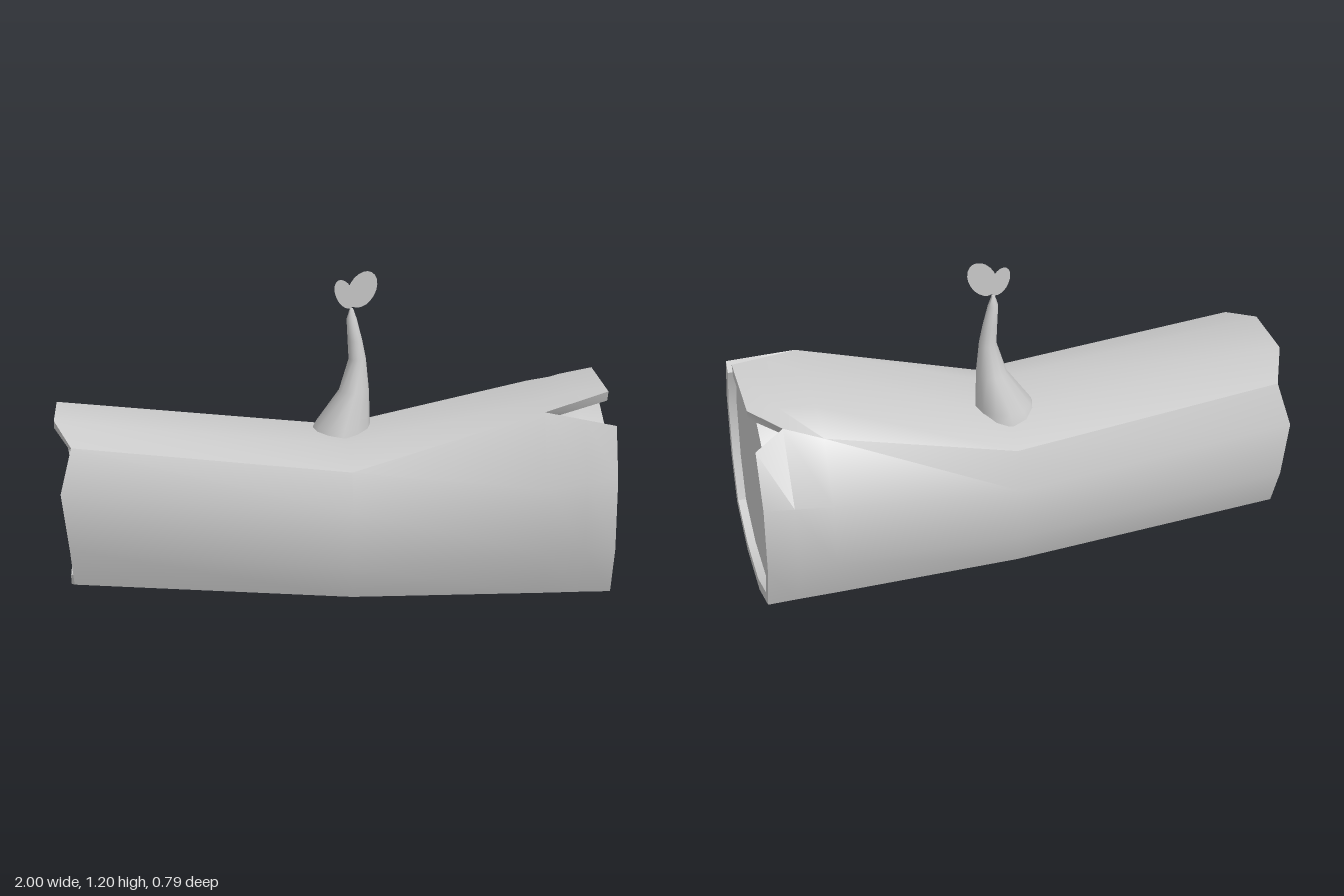
import * as THREE from 'three';
import { toCreasedNormals } from 'three/addons/utils/BufferGeometryUtils.js';

const V = (x, y, z) => new THREE.Vector3(x, y, z);
const quad = (out, a, b, c, d) => out.push(a, b, c, a, c, d);

// Skin consecutive closed rings
function loft(out, rings) {
  for (let s = 0; s < rings.length - 1; s++) {
    const r = rings[s], q = rings[s + 1], n = r.length;
    for (let i = 0; i < n; i++) {
      const j = (i + 1) % n;
      quad(out, r[i], r[j], q[j], q[i]);
    }
  }
}

// Close a ring with a fan around its middle
function fan(out, ring, flip) {
  const mid = ring.reduce((m, p) => m.add(p), V(0, 0, 0)).divideScalar(ring.length);
  ring.forEach((p, i) => {
    const q = ring[(i + 1) % ring.length];
    if (flip) out.push(mid, q, p); else out.push(mid, p, q);
  });
}

function makeMesh(points, name, crease) {
  const geometry = toCreasedNormals(new THREE.BufferGeometry().setFromPoints(points), crease);
  const mesh = new THREE.Mesh(geometry, new THREE.MeshStandardMaterial({ color: 0xcccccc }));
  mesh.name = name;
  return mesh;
}

// Each station: x per half-profile point, then [z, y] from bottom centre up to top.
// Optional split corners (side edge, plank edge) open the chips near the right end.
const stations = [
  { x: [-0.96, -0.94, -0.95, -0.975, -0.935, -1],
    half: [[0.11, 0.08], [0.275, 0.14], [0.325, 0.29], [0.325, 0.5], [0.275, 0.655], [0.12, 0.71]] },
  { x: 0.06,
    half: [[0.12, 0.01], [0.295, 0.07], [0.343, 0.2], [0.343, 0.405], [0.292, 0.545], [0.125, 0.595]] },
  { x: 0.75, front: [[0.28, 0.75], [0.28, 0.75]],
    half: [[0.128, 0.003], [0.325, 0.077], [0.382, 0.248], [0.382, 0.49], [0.255, 0.695], [0.13, 0.75]] },
  { x: 0.89, front: [[0.311, 0.728], [0.218, 0.772]], back: [[0.23, 0.745], [0.23, 0.745]],
    half: [[0.13, 0.001], [0.33, 0.079], [0.389, 0.258], [0.389, 0.51], [0.24, 0.74], [0.13, 0.772]] },
  { x: 1, front: [[0.335, 0.71], [0.17, 0.79]], back: [[0.3, 0.71], [0.155, 0.79]],
    half: [[0.13, 0], [0.335, 0.08], [0.395, 0.265], [0.395, 0.525], [0.335, 0.71], [0.13, 0.79]] },
];

// Full section, split into the trunk body and the top plank
function section({ x, half, front, back }) {
  const at = (i, side, p = half[i]) => V(Array.isArray(x) ? x[i] : x, p[1], side * p[0]);
  const f = front || [half[4], half[4]], b = back || [half[4], half[4]];
  return {
    body: [at(4, 1, f[0]), at(3, 1), at(2, 1), at(1, 1), at(0, 1),
      at(0, -1), at(1, -1), at(2, -1), at(3, -1), at(4, -1, b[0])],
    plank: [at(4, -1, b[1]), at(5, -1), at(5, 1), at(4, 1, f[1])],
    middle: (half[0][1] + half[5][1]) / 2,
  };
}

const shrink = (pts, y, k) => pts.map(p => V(p.x, y + (p.y - y) * k, p.z * k));

function makeShell(sections) {
  const out = [];
  for (const part of ['body', 'plank']) {
    const outer = sections.map(s => s[part]);
    const inner = sections.map(s => shrink(s[part], s.middle, 0.9));
    loft(out, outer.map((o, i) => [...o, ...[...inner[i]].reverse()]));
    // End rims
    const e = sections.length - 1;
    for (let i = 0; i < outer[0].length - 1; i++) {
      quad(out, outer[e][i], outer[e][i + 1], inner[e][i + 1], inner[e][i]);
      quad(out, outer[0][i + 1], outer[0][i], inner[0][i], inner[0][i + 1]);
    }
  }
  return makeMesh(out, 'logShell', 0.62);
}

// Solid heartwood, set back from both ends
function makeCore(sections) {
  const rings = sections.map(s => shrink([...s.body, ...s.plank], s.middle, 0.895));
  const e = rings.length - 1;
  rings[0] = rings[0].map((p, i) => {
    const q = p.clone().lerp(rings[1][i], 0.1);
    q.x = -0.86;
    return q;
  });
  rings[e].forEach(p => { p.x = 0.97; });
  const out = [];
  loft(out, rings);
  fan(out, rings[0], true);
  fan(out, rings[e], false);
  return makeMesh(out, 'logCore', 0.62);
}

// Tapering, leaning stem: y, centre x, half x, centre z, half z
function makeStem() {
  const levels = [
    [0.57, 0.043, 0.115, -0.065, 0.12], [0.62, 0.052, 0.104, -0.065, 0.108],
    [0.75, 0.095, 0.056, -0.06, 0.06], [0.87, 0.107, 0.032, -0.058, 0.034],
    [0.94, 0.098, 0.027, -0.057, 0.026], [1.02, 0.086, 0.019, -0.057, 0.018],
    [1.06, 0.085, 0.006, -0.057, 0.006]];
  const rings = levels.map(([y, cx, rx, cz, rz]) => Array.from({ length: 12 }, (_, i) => {
    const a = i * Math.PI / 6;
    return V(cx + rx * Math.cos(a), y, cz - rz * Math.sin(a));
  }));
  const out = [];
  loft(out, rings);
  fan(out, rings[rings.length - 1], false);
  return makeMesh(out, 'sproutStem', 1.1);
}

// Flat oval leaf
function makeLeaf(name, x, y, rx, ry, tilt) {
  const leaf = new THREE.Mesh(new THREE.CircleGeometry(1, 20),
    new THREE.MeshStandardMaterial({ color: 0xcccccc, side: THREE.DoubleSide }));
  leaf.name = name;
  leaf.scale.set(rx, ry, 1);
  leaf.rotation.z = tilt;
  leaf.position.set(x, y, -0.057);
  return leaf;
}

export function createModel() {
  const model = new THREE.Group();
  model.name = 'hollowLog';
  const sections = stations.map(section);
  const sprout = new THREE.Group();
  sprout.name = 'sprout';
  sprout.add(makeStem(),
    makeLeaf('leftLeaf', 0.124, 1.13, 0.049, 0.073, -0.5),
    makeLeaf('rightLeaf', 0.06, 1.113, 0.033, 0.057, 0.4));
  model.add(makeShell(sections), makeCore(sections), sprout);
  return model;
}
